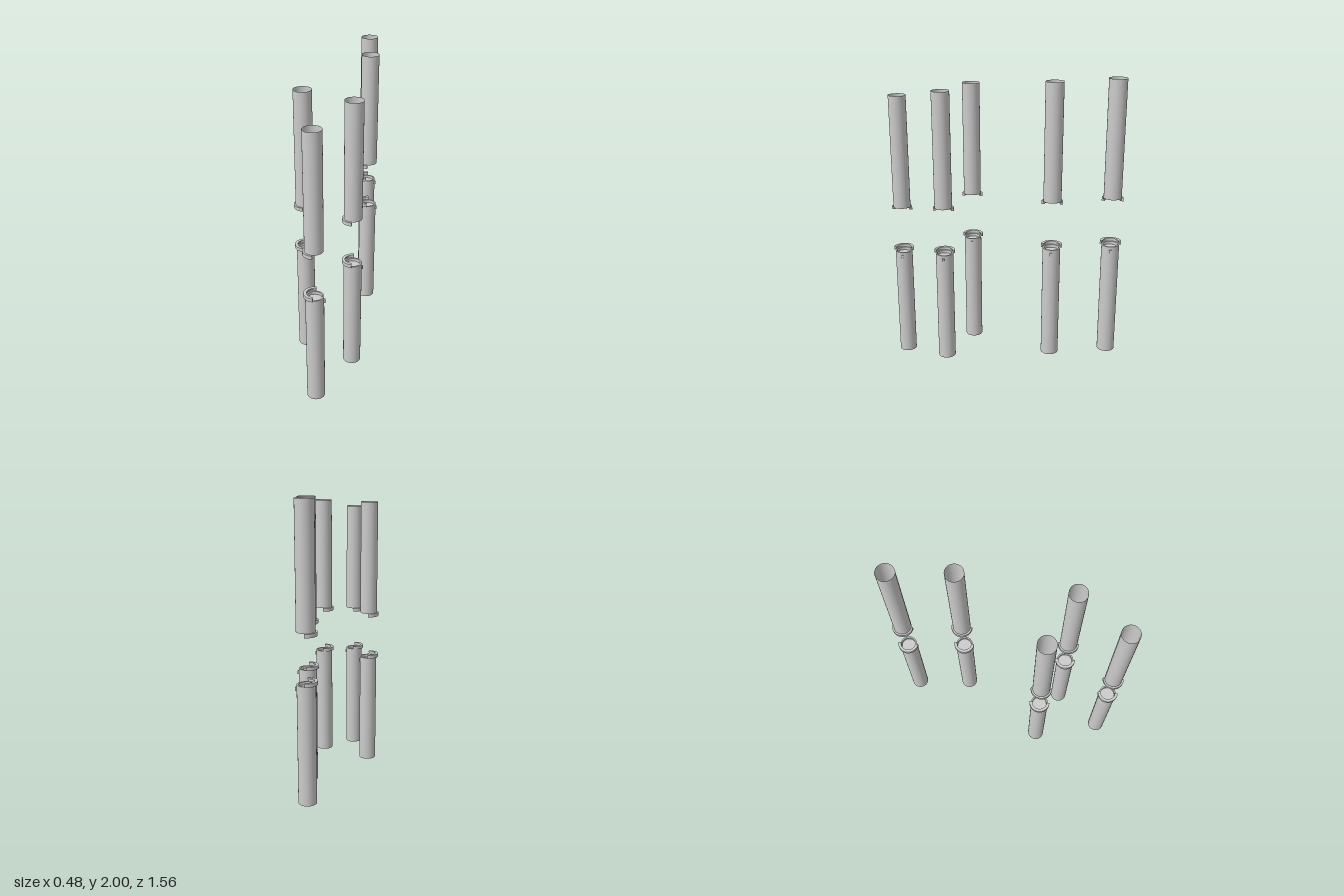
import * as THREE from 'three';

const R = 0.058;        // tube radius
const BORE = 0.048;     // socket radius at the joint
const JOINT = 0.16;     // joint face distance from the pair's middle
const END = 0.925;      // outer end distance from the pair's middle

const grey = new THREE.MeshStandardMaterial({ color: 0xcccccc, side: THREE.DoubleSide });

// Surface of revolution with hard edges: one lathe per profile segment
function revolve(points, name) {
  const group = new THREE.Group();
  group.name = name;
  for (let i = 0; i < points.length - 1; i++) {
    const pair = [points[i], points[i + 1]].map(p => new THREE.Vector2(...p));
    const mesh = new THREE.Mesh(new THREE.LatheGeometry(pair, 40), grey);
    mesh.name = name + 'Surface';
    group.add(mesh);
  }
  return group;
}

// Half ring around the -x side, from y0 upward
function halfRing(inner, outer, y0, height, name) {
  const shape = new THREE.Shape();
  shape.absarc(0, 0, outer, Math.PI / 2, Math.PI * 1.5, false);
  shape.absarc(0, 0, inner, Math.PI * 1.5, Math.PI / 2, true);
  shape.closePath();
  const geo = new THREE.ExtrudeGeometry(shape, { depth: height, bevelEnabled: false, curveSegments: 24 });
  geo.rotateX(-Math.PI / 2);
  geo.translate(0, y0, 0);
  const mesh = new THREE.Mesh(geo, grey);
  mesh.name = name;
  return mesh;
}

// Upper half: open tube, joint face with shallow socket, half collar below it
function tubeHalf(name) {
  const half = new THREE.Group();
  half.name = name;
  half.add(
    revolve([[0, JOINT + 0.02], [BORE, JOINT + 0.02], [BORE, JOINT], [R, JOINT], [R, END]], 'tube'),
    halfRing(0.057, 0.069, JOINT - 0.023, 0.024, 'collar'),
    halfRing(0.05, 0.06, JOINT - 0.023, 0.009, 'collarLip')
  );
  return half;
}

function tubePair() {
  const pair = new THREE.Group();
  pair.name = 'tubePair';
  const upper = tubeHalf('upperTube');
  // Lower half is the upper one turned over about the x axis
  const lower = tubeHalf('lowerTube');
  lower.rotation.x = Math.PI;

  // Small catch on the side opposite the collar
  const catchBlock = new THREE.Mesh(new THREE.BoxGeometry(0.014, 0.022, 0.016), grey);
  catchBlock.name = 'catch';
  catchBlock.position.set(R + 0.001, -JOINT - 0.03, 0);

  pair.add(upper, lower, catchBlock);
  return pair;
}

export function createModel() {
  const model = new THREE.Group();
  model.name = 'tubePairs';
  // Middle of each pair
  const places = [
    [-0.025, 0.925, 0.708],
    [0.165, 0.99, 0.388],
    [-0.17, 0.99, 0.24],
    [0.175, 1.06, -0.325],
    [0.125, 1.077, -0.71]
  ];
  for (const p of places) {
    const pair = tubePair();
    pair.position.set(...p);
    model.add(pair);
  }
  return model;
}
